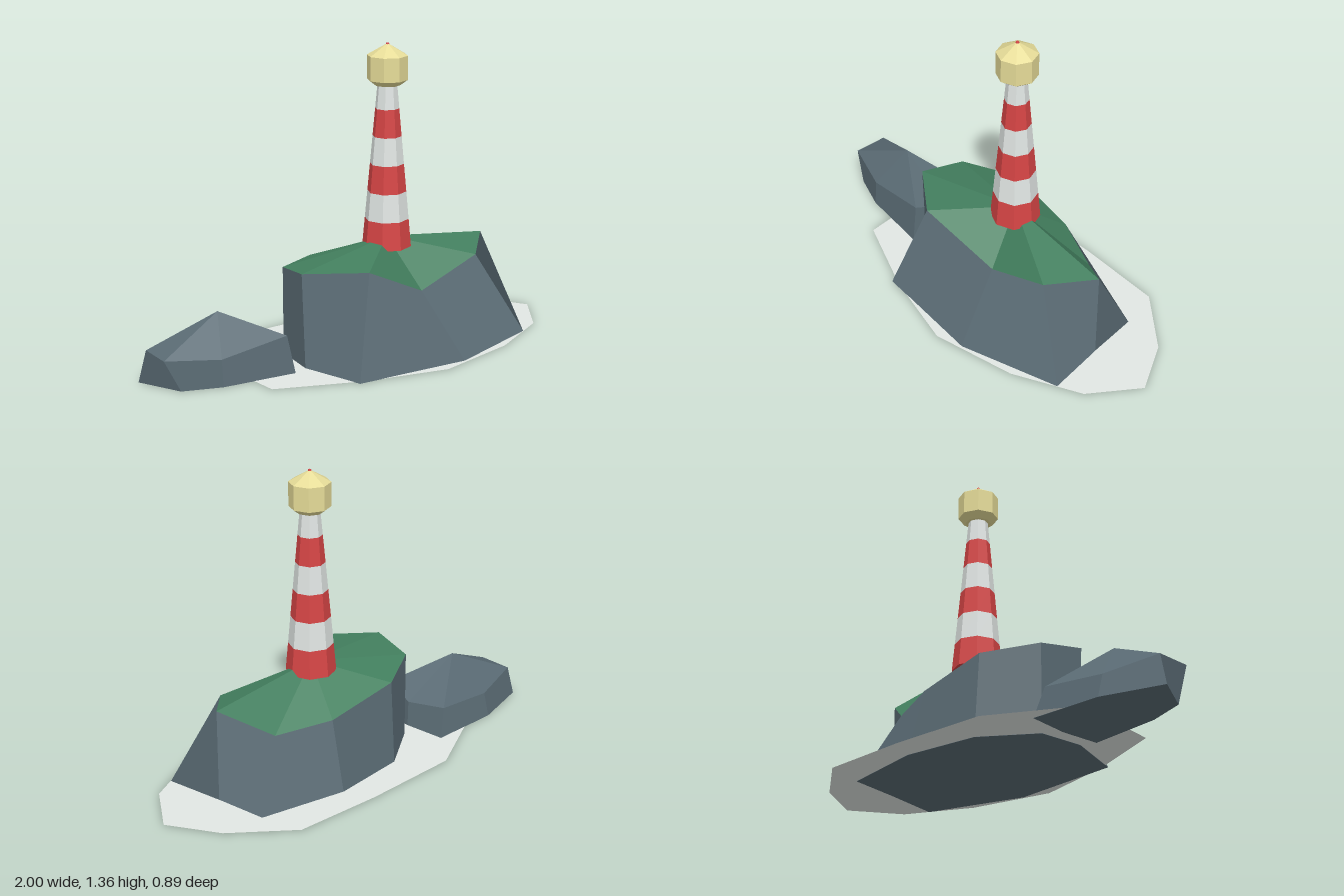
import * as THREE from 'three';

const mat = (name, color, options) => {
  const m = new THREE.MeshStandardMaterial({ color, ...options });
  m.name = name;
  return m;
};

// Mesh from flat polygons; every polygon keeps a single normal, even if slightly bent
function facets(name, polygons, material) {
  const pos = [];
  const nor = [];
  for (const poly of polygons) {
    const p = poly.map((c) => new THREE.Vector3(...c));
    const normal = new THREE.Vector3();
    for (let i = 1; i < p.length - 1; i++) {
      normal.add(p[i].clone().sub(p[0]).cross(p[i + 1].clone().sub(p[0])));
      pos.push(...poly[0], ...poly[i], ...poly[i + 1]);
    }
    normal.normalize();
    for (let i = 0; i < 3 * (p.length - 2); i++) nor.push(normal.x, normal.y, normal.z);
  }
  const g = new THREE.BufferGeometry();
  g.setAttribute('position', new THREE.Float32BufferAttribute(pos, 3));
  g.setAttribute('normal', new THREE.Float32BufferAttribute(nor, 3));
  const mesh = new THREE.Mesh(g, material);
  mesh.name = name;
  return mesh;
}

// Triangles from a ring up to a centre point
const fan = (ring, c) => ring.map((p, i) => [c, ring[(i + 1) % ring.length], p]);

// Four-cornered sides between a rim and a ground outline, closed at the bottom
function sides(rim, ground) {
  const base = ground.map(([x, z]) => [x, 0, z]);
  const walls = rim.map((p, i) => {
    const j = (i + 1) % rim.length;
    return [p, rim[j], base[j], base[i]];
  });
  return [...walls, base];
}

export function createModel() {
  const rock = mat('rock', 0x5a6b74);
  const grass = mat('grass', 0x43805f);
  const foam = mat('foam', 0xe2e7e4, { side: THREE.DoubleSide });
  const red = mat('red paint', 0xd64545, { flatShading: true });
  const white = mat('white paint', 0xe0e5e3, { flatShading: true });
  const gold = mat('lantern gold', 0xe6dc98, { flatShading: true });

  const model = new THREE.Group();
  model.name = 'lighthouseIsland';

  // Foam sheet on the water
  const shore = [
    [1, -0.02], [0.855, 0.2], [0.56, 0.355], [0.175, 0.445], [-0.2, 0.36], [-0.575, 0.215],
    [-0.6, 0], [-0.58, -0.25], [-0.26, -0.43], [0.2, -0.45], [0.61, -0.44], [0.865, -0.24],
  ].map(([x, z]) => [x, 0.001, z]);
  model.add(facets('foam', fan(shore, [0.2, 0.001, 0]), foam));

  // Main island: rock walls and a grassy cap
  const islandRim = [
    [0.7, 0.42, -0.016], [0.54, 0.38, 0.155], [0.23, 0.27, 0.17], [-0.11, 0.437, 0.255], [-0.345, 0.43, 0.09],
    [-0.31, 0.4, -0.12], [-0.085, 0.38, -0.255], [0.255, 0.31, -0.245], [0.5, 0.288, -0.155],
  ];
  const islandGround = [
    [0.7, -0.016], [0.748, 0.255], [0.295, 0.405], [-0.235, 0.37], [-0.33, 0.09],
    [-0.31, -0.12], [-0.085, -0.28], [0.265, -0.325], [0.665, -0.255],
  ];
  model.add(facets('islandRock', sides(islandRim, islandGround), rock));
  model.add(facets('islandGrass', fan(islandRim, [0.17, 0.488, -0.016]), grass));

  // Small rock beside the island
  const smallRim = [
    [-0.383, 0.12, -0.07], [-0.415, 0.165, 0.08], [-0.73, 0.12, 0.07], [-0.965, 0.14, 0],
    [-0.965, 0.14, -0.16], [-0.73, 0.105, -0.225], [-0.44, 0.13, -0.24],
  ];
  const smallGround = [
    [-0.38, -0.07], [-0.395, 0.115], [-0.73, 0.08], [-0.9, 0.022],
    [-1, -0.17], [-0.73, -0.255], [-0.4, -0.265],
  ];
  model.add(facets('smallRock',
    [...sides(smallRim, smallGround), ...fan(smallRim, [-0.665, 0.28, -0.075])], rock));

  // Lighthouse, eight sided
  const tower = new THREE.Group();
  tower.name = 'lighthouse';
  tower.position.set(0.17, 0, -0.016);
  model.add(tower);
  const section = (name, y0, y1, r0, r1, material, open) => {
    const mesh = new THREE.Mesh(new THREE.CylinderGeometry(r1, r0, y1 - y0, 8, 1, open), material);
    mesh.position.y = (y0 + y1) / 2;
    mesh.name = name;
    tower.add(mesh);
  };

  // Tapered red and white bands
  const levels = [0.445, 0.571, 0.696, 0.821, 0.945, 1.069, 1.172];
  const radius = (y) => 0.11 - (0.066 * (y - 0.445)) / 0.727;
  for (let i = 0; i < 6; i++) {
    const [a, b] = [levels[i], levels[i + 1]];
    section(i % 2 ? 'whiteBand' : 'redBand', a, b, radius(a), radius(b), i % 2 ? white : red, i > 0);
  }

  // Lantern: flared collar, drum, pointed roof and a tiny tip
  section('lanternCollar', 1.172, 1.196, 0.058, 0.09, gold, false);
  section('lanternDrum', 1.196, 1.302, 0.09, 0.09, gold, true);
  section('lanternRoof', 1.302, 1.355, 0.09, 0, gold, true);
  section('roofTip', 1.35, 1.356, 0.008, 0.006, red, false);

  return model;
}
